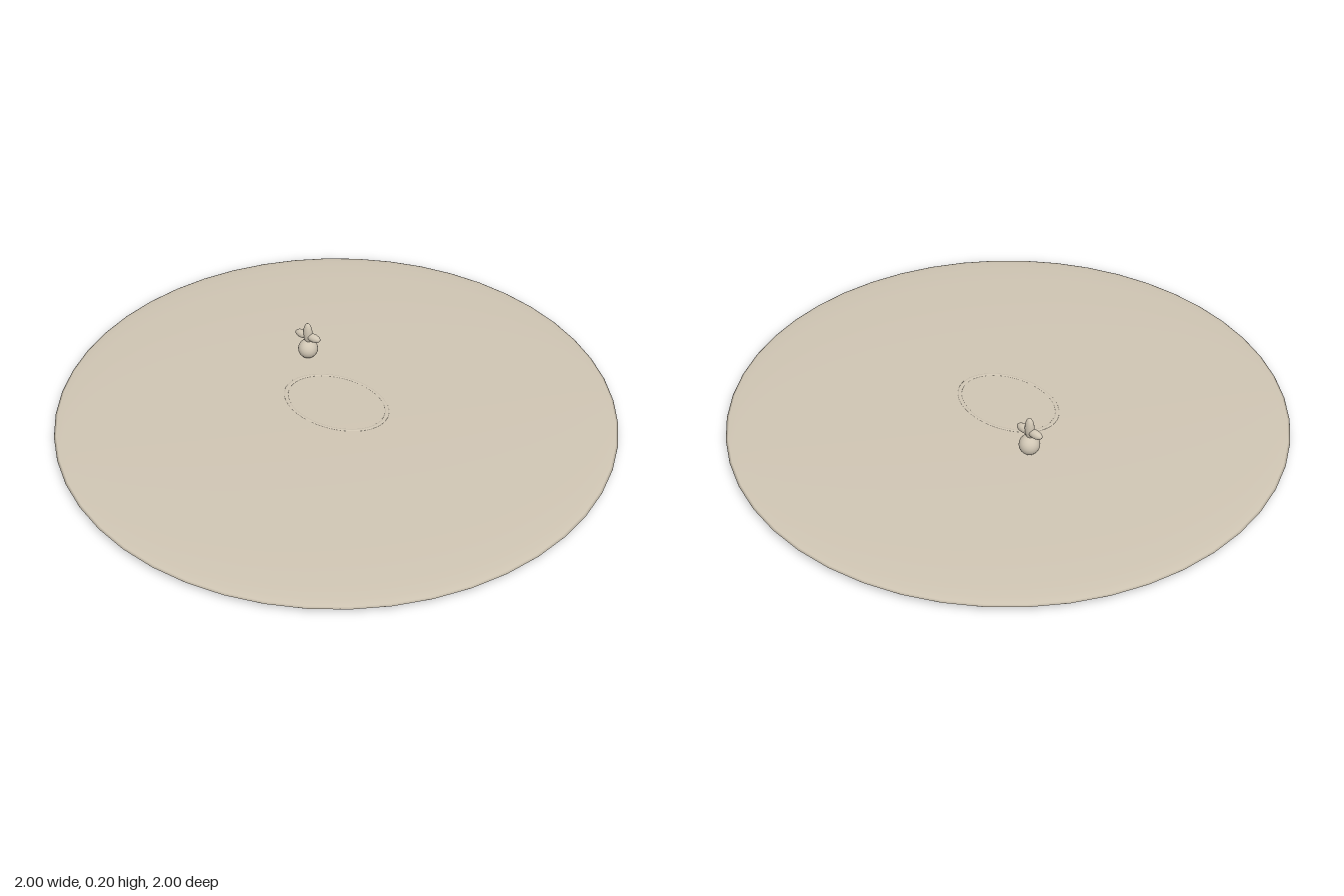
import * as THREE from 'three';

export function createModel() {
  const model = new THREE.Group();
  const clay = new THREE.MeshStandardMaterial({ color: 0xd0c6b4 });
  clay.name = 'pale clay';

  // Unit sphere stretched into an ellipsoid
  function ellipsoid(name, parent, radii, position, segments = 24) {
    const mesh = new THREE.Mesh(new THREE.SphereGeometry(1, segments, segments / 2), clay);
    mesh.name = name;
    mesh.scale.set(...radii);
    mesh.position.set(...position);
    parent.add(mesh);
    return mesh;
  }

  // Broad, very flat lens-shaped base
  ellipsoid('disc', model, [1, 0.025, 1], [0, 0.025, 0], 48);

  // Thin oval band lying almost flush with the top of the disc
  const ringGeometry = new THREE.TorusGeometry(0.197, 0.008, 10, 64).rotateX(Math.PI / 2);
  const ring = new THREE.Mesh(ringGeometry, clay);
  ring.name = 'ovalRing';
  ring.scale.set(1, 0.25, 0.71);
  ring.position.y = 0.0492;
  model.add(ring);

  // Little round bud with three petals
  const bud = new THREE.Group();
  bud.name = 'bud';
  bud.position.set(-0.245, 0, -0.166);
  model.add(bud);
  ellipsoid('budBall', bud, [0.037, 0.037, 0.037], [0, 0.087, 0]);
  ellipsoid('uprightPetal', bud, [0.018, 0.043, 0.015], [0, 0.155, 0]);
  for (const side of [-1, 1]) {
    ellipsoid(side > 0 ? 'leftPetal' : 'rightPetal', bud, [0.03, 0.016, 0.015], [side * 0.025, 0.143, 0]);
  }

  return model;
}
